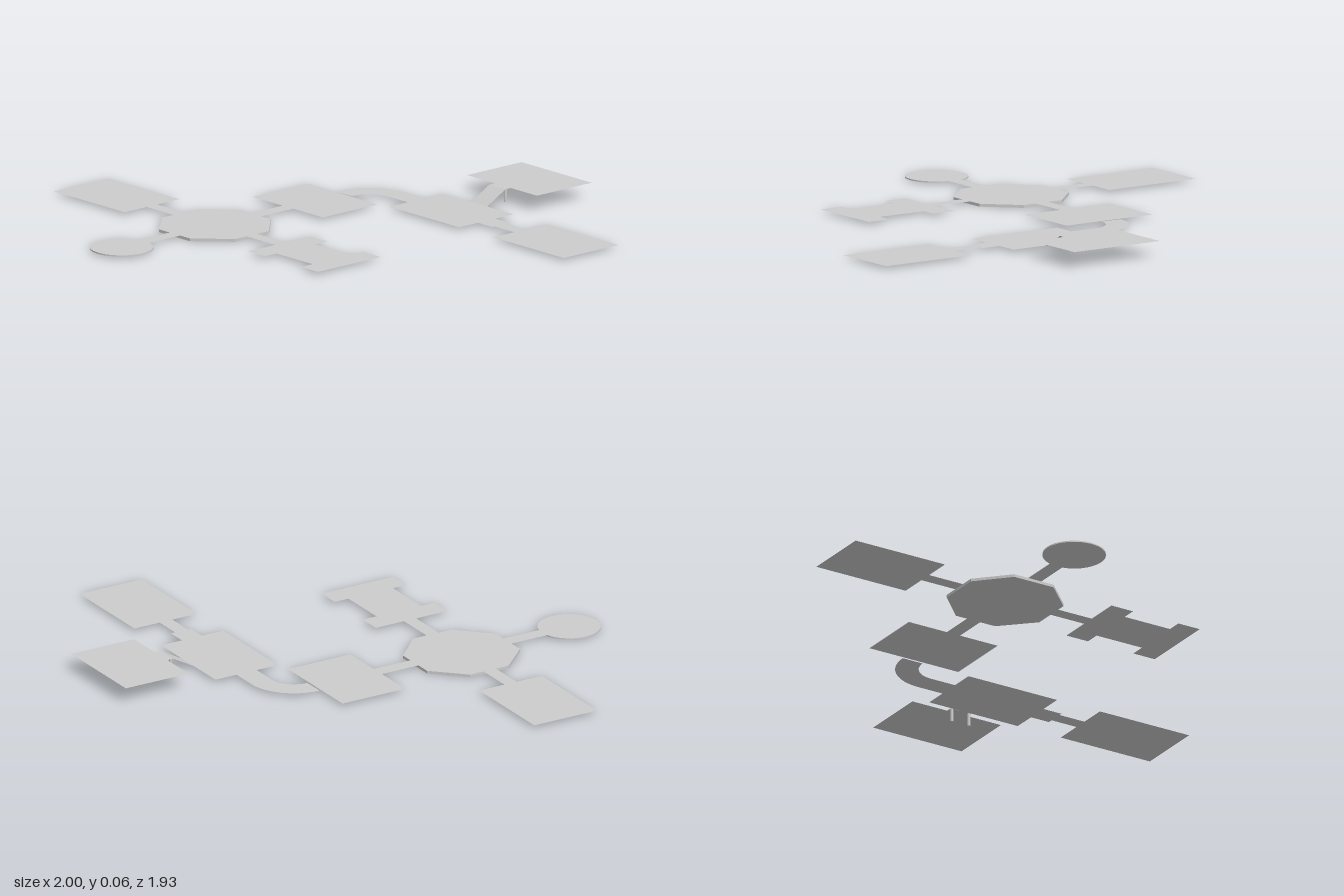
import * as THREE from 'three';

const FLOOR = 0.011, DECK = 0.062;

export function createModel() {
  const model = new THREE.Group();
  const material = new THREE.MeshStandardMaterial({
    color: 0xcccccc, side: THREE.DoubleSide, flatShading: true,
  });

  const add = (name, geometry) => {
    const mesh = new THREE.Mesh(geometry, material);
    mesh.name = name;
    model.add(mesh);
    return mesh;
  };
  // Outline given as [x, z] pairs
  const outline = (points) => new THREE.Shape(points.map(([x, z]) => new THREE.Vector2(x, -z)));
  // Thin horizontal sheet
  const sheet = (name, shape, y = FLOOR) =>
    add(name, new THREE.ShapeGeometry(shape, 16).rotateX(-Math.PI / 2).translate(0, y, 0));
  const rect = (name, x0, x1, z0, z1, y) =>
    sheet(name, outline([[x0, z0], [x0, z1], [x1, z1], [x1, z0]]), y);
  // Slab whose top is level with the sheets
  const slab = (name, shape, depth) =>
    add(name, new THREE.ExtrudeGeometry(shape, { depth, bevelEnabled: false, curveSegments: 24 })
      .rotateX(-Math.PI / 2).translate(0, FLOOR - depth, 0));

  // Rectangular rooms
  rect('westRoom', -1, -0.6, 0.224, 0.502);
  rect('northRoom', -0.44, -0.043, -0.283, -0.005);
  rect('middleRoom', 0.01, 0.406, -0.571, -0.294);
  rect('eastRoom', 0.598, 0.997, -0.571, -0.294);
  rect('raisedRoom', 0.01, 0.406, -0.968, -0.69, DECK);

  // Straight corridors
  rect('westCorridor', -0.6, -0.449, 0.336, 0.39);
  rect('eastCorridor', -0.035, 0.128, 0.336, 0.39);
  rect('northCorridor', -0.27, -0.211, -0.005, 0.157);
  rect('southCorridor', -0.27, -0.211, 0.569, 0.73);
  rect('wideConnector', 0.406, 0.486, -0.478, -0.39);
  rect('narrowConnector', 0.486, 0.598, -0.459, -0.403);

  // Octagonal hub
  slab('octagonHub', outline([
    [-0.332, 0.157], [-0.449, 0.276], [-0.449, 0.447], [-0.332, 0.569],
    [-0.157, 0.569], [-0.035, 0.447], [-0.035, 0.276], [-0.157, 0.157],
  ]), FLOOR);

  // Round room
  const disc = new THREE.Shape();
  disc.absarc(-0.238, -0.843, 0.12, 0, Math.PI * 2);
  slab('roundRoom', disc, 0.005);

  // H-shaped room
  sheet('notchedRoom', outline([
    [0.128, 0.211], [0.128, 0.529], [0.224, 0.529], [0.224, 0.47],
    [0.427, 0.47], [0.427, 0.529], [0.523, 0.529], [0.523, 0.211],
    [0.427, 0.211], [0.427, 0.272], [0.224, 0.272], [0.224, 0.211],
  ]));

  // Quarter-turn corridor with a straight run into the middle room
  const bend = new THREE.Shape();
  bend.moveTo(0.01, 0.478);
  bend.lineTo(-0.099, 0.478);
  bend.absarc(-0.099, 0.291, 0.187, Math.PI / 2, Math.PI, false);
  bend.lineTo(-0.195, 0.291);
  bend.absarc(-0.099, 0.291, 0.098, Math.PI, Math.PI / 2, true);
  bend.lineTo(0.01, 0.389);
  sheet('curvedCorridor', bend);

  // Ramp and landing up to the raised room
  const rampRun = 0.093, rampRise = DECK - FLOOR;
  const ramp = add('ramp', new THREE.PlaneGeometry(0.091, Math.hypot(rampRun, rampRise)).rotateX(-Math.PI / 2));
  ramp.rotation.x = Math.atan2(rampRise, rampRun);
  ramp.position.set(0.2115, (FLOOR + DECK) / 2, -0.571 - rampRun / 2);
  rect('landing', 0.166, 0.257, -0.69, -0.664, DECK);

  // Landing posts
  for (const side of [-1, 1]) {
    const post = add('landingPost', new THREE.CylinderGeometry(0.006, 0.006, rampRise, 12));
    post.position.set(0.2115 + side * 0.038, (FLOOR + DECK) / 2, -0.67);
  }
  return model;
}
